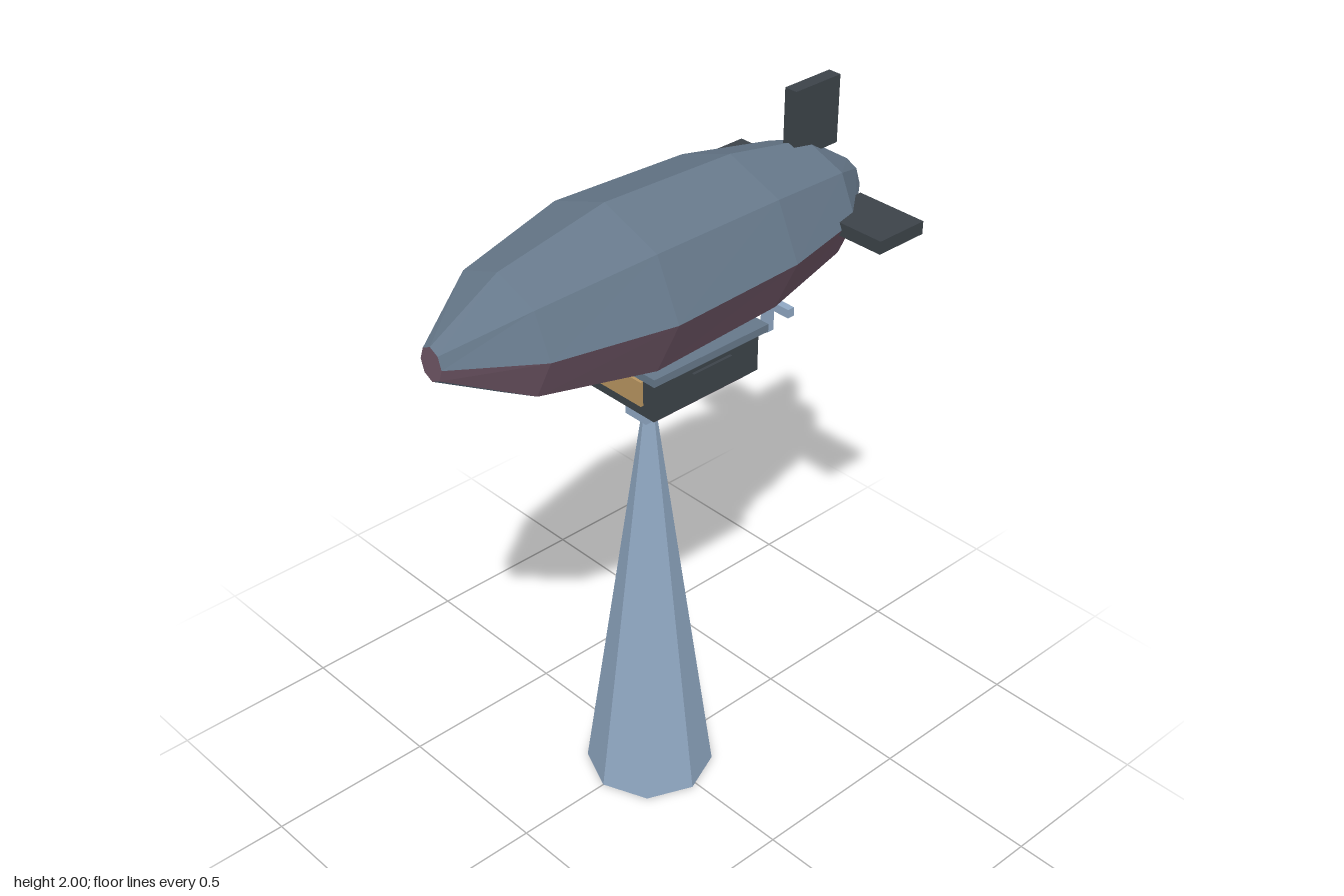
import * as THREE from 'three';

const mat = (name, color) => Object.assign(new THREE.MeshStandardMaterial({ color, flatShading: true }), { name });

export function createModel() {
  const slate = mat('slate blue', 0x66788a);
  const plum = mat('plum', 0x6f5666);
  const dark = mat('dark grey', 0x3c4349);
  const sky = mat('pale steel blue', 0x90a8c3);
  sky.side = THREE.DoubleSide;
  const amber = mat('amber', 0xb89560);

  const model = new THREE.Group();
  model.name = 'airshipOnMast';

  const add = (name, geometry, material) => {
    const mesh = new THREE.Mesh(geometry, material);
    mesh.name = name;
    model.add(mesh);
    return mesh;
  };
  // Box given by its limits on each axis
  const box = (name, material, [x0, x1], [y0, y1], [z0, z1]) =>
    add(name, new THREE.BoxGeometry(x1 - x0, y1 - y0, z1 - z0), material)
      .position.set((x0 + x1) / 2, (y0 + y1) / 2, (z0 + z1) / 2);

  // Hull: eight-sided sections [z, half width, half height], nose to tail
  const axisY = 1.67;
  const sections = [
    [0.715, 0.04, 0.048], [0.505, 0.188, 0.168], [0.165, 0.268, 0.233],
    [-0.265, 0.251, 0.22], [-0.55, 0.187, 0.167], [-0.715, 0.052, 0.058],
  ];
  const point = (i, k) => {
    const [z, rx, ry] = sections[i];
    const a = (k * Math.PI) / 4;
    return [rx * Math.cos(a), axisY + ry * Math.sin(a), z];
  };
  const mainFaces = [], plumFaces = [];
  const last = sections.length - 1;
  for (let k = 0; k < 8; k++) {
    // Two opposite lengthwise panels are plum
    const target = k === 3 || k === 7 ? plumFaces : mainFaces;
    for (let i = 0; i < last; i++) {
      const a = point(i, k), b = point(i, k + 1), c = point(i + 1, k + 1), d = point(i + 1, k);
      target.push(...a, ...d, ...c, ...a, ...c, ...b);
    }
    // Nose and tail caps
    plumFaces.push(0, axisY, sections[0][0], ...point(0, k), ...point(0, k + 1));
    mainFaces.push(0, axisY, sections[last][0], ...point(last, k + 1), ...point(last, k));
  }
  const surface = (faces) => {
    const g = new THREE.BufferGeometry();
    g.setAttribute('position', new THREE.Float32BufferAttribute(faces, 3));
    g.computeVertexNormals();
    return g;
  };
  add('hull', surface(mainFaces), slate);
  add('hullStripesAndNose', surface(plumFaces), plum);

  // Tail fins
  box('topFin', dark, [-0.02, 0.02], [1.805, 2], [-0.648, -0.482]);
  box('leftFin', dark, [0.115, 0.337], [1.652, 1.69], [-0.648, -0.482]);
  box('rightFin', dark, [-0.337, -0.115], [1.652, 1.69], [-0.648, -0.482]);

  // Gondola
  box('gondolaBody', dark, [-0.134, 0.134], [1.308, 1.43], [-0.252, 0.125]);
  box('gondolaRoof', slate, [-0.152, 0.152], [1.427, 1.45], [-0.27, 0.14]);
  box('gondolaFloor', plum, [-0.107, 0.107], [1.283, 1.308], [-0.226, 0.098]);
  box('windshield', amber, [-0.094, 0.094], [1.34, 1.413], [0.125, 0.134]);
  for (const [side, s] of [['left', 1], ['right', -1]]) {
    const span = (a, b) => [Math.min(s * a, s * b), Math.max(s * a, s * b)];
    box(side + 'Window', dark, span(0.134, 0.143), [1.344, 1.4], [-0.147, -0.009]);
    box(side + 'Strut', dark, span(0.085, 0.105), [1.445, 1.49], [-0.07, -0.055]);
  }

  // Propeller
  box('propellerShaft', dark, [-0.015, 0.015], [1.383, 1.415], [-0.412, -0.25]);
  box('verticalBlade', sky, [-0.013, 0.013], [1.305, 1.481], [-0.437, -0.412]);
  box('horizontalBlade', sky, [-0.088, 0.088], [1.382, 1.408], [-0.436, -0.413]);

  // Mooring mast and its mount
  box('mastMount', sky, [-0.04, 0.04], [1.228, 1.283], [-0.03, 0.066]);
  add('mast', new THREE.CylinderGeometry(0.021, 0.186, 1.22, 8, 1, true), sky).position.set(0, 0.61, 0.018);

  return model;
}
